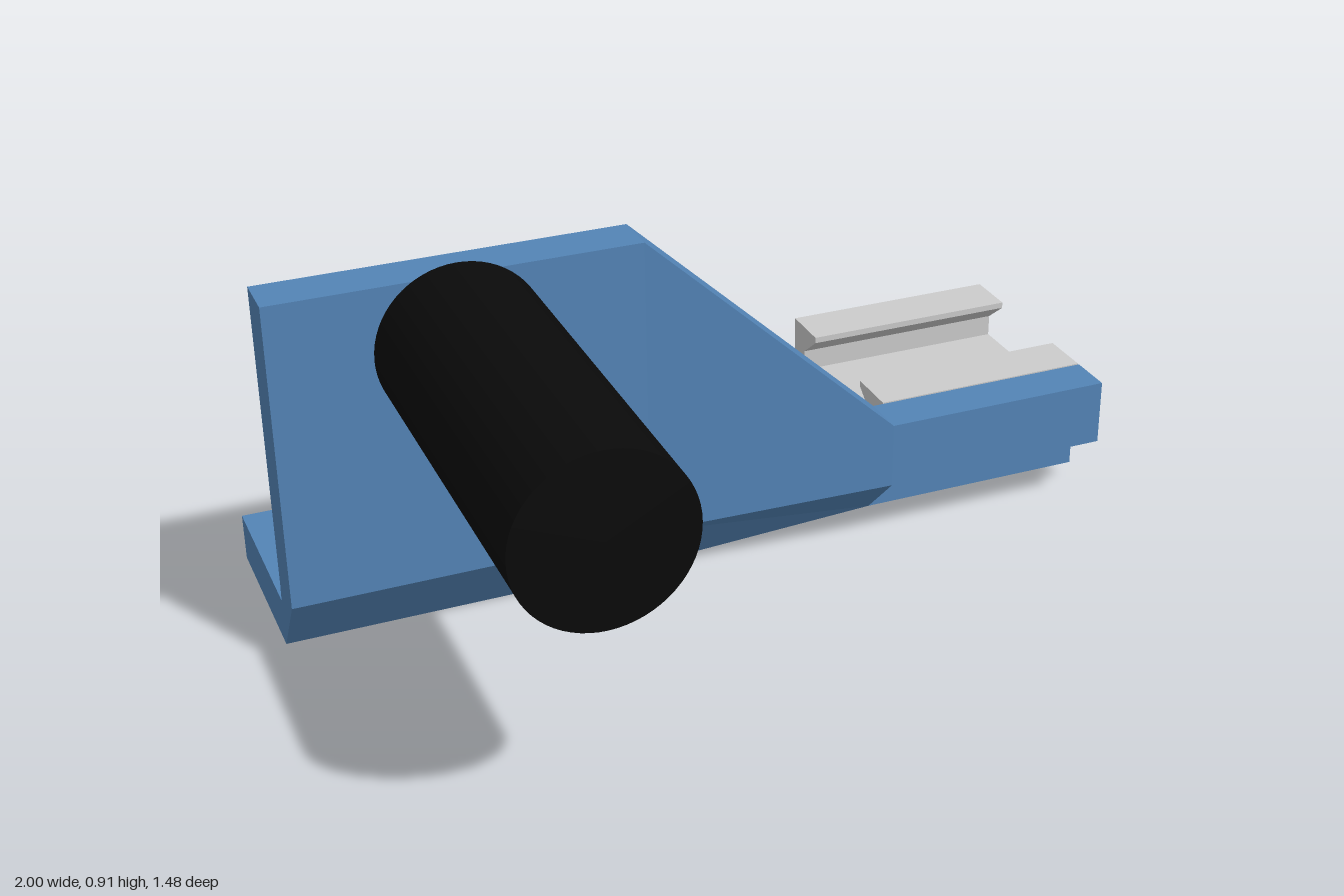
import * as THREE from 'three';

const blue = new THREE.MeshStandardMaterial({ color: 0x5384b6, flatShading: true });
const grey = new THREE.MeshStandardMaterial({ color: 0xcccccc, flatShading: true });
const black = new THREE.MeshStandardMaterial({ color: 0x0a0a0a });

// Skins matching [z, y] outlines placed at stations along x, and caps both ends
function loft(name, stations, material) {
  const pos = [];
  const put = (x, ...pts) => pts.forEach(([z, y]) => pos.push(x, y, z));
  for (let s = 0; s < stations.length - 1; s++) {
    const [x0, a] = stations[s];
    const [x1, b] = stations[s + 1];
    a.forEach((p, i) => {
      const j = (i + 1) % a.length;
      put(x0, p); put(x1, b[i]); put(x0, a[j]);
      put(x0, a[j]); put(x1, b[i]); put(x1, b[j]);
    });
  }
  const cap = ([x, ring], flip) => {
    const tris = THREE.ShapeUtils.triangulateShape(ring.map(([z, y]) => new THREE.Vector2(z, y)), []);
    for (const [i, j, k] of tris) put(x, ring[i], ring[flip ? k : j], ring[flip ? j : k]);
  };
  cap(stations[0], false);
  cap(stations[stations.length - 1], true);
  const geometry = new THREE.BufferGeometry();
  geometry.setAttribute('position', new THREE.Float32BufferAttribute(pos, 3));
  geometry.computeVertexNormals();
  const mesh = new THREE.Mesh(geometry, material);
  mesh.name = name;
  return mesh;
}

const rect = (z0, z1, y0, y1) => [[z0, y0], [z1, y0], [z1, y1], [z0, y1]];

export function createModel() {
  const group = new THREE.Group();
  group.name = 'bracketWithRail';

  // Folded bracket: tall L section tapering to a low one
  const tall = [[-0.665, 0], [-0.26, 0], [-0.145, 0.16], [-0.145, 0.883],
    [-0.255, 0.883], [-0.255, 0.16], [-0.26, 0.115], [-0.665, 0.115]];
  const low = [[-0.74, 0.045], [-0.235, 0.045], [-0.115, 0.165], [-0.115, 0.325],
    [-0.225, 0.325], [-0.225, 0.165], [-0.235, 0.157], [-0.74, 0.157]];
  group.add(loft('foldedBracket', [[-1, tall], [-0.165, tall], [0.437, low]], blue));

  // Separate wall and floor strips beyond the fold
  const wall = rect(-0.225, -0.115, 0.165, 0.325);
  const floor = rect(-0.74, -0.235, 0.045, 0.157);
  group.add(loft('wallStrip', [[0.437, wall], [1, wall]], blue));
  group.add(loft('floorStrip', [[0.437, floor], [1, floor]], blue));

  // Slotted rail, mirrored about its centre line
  const mid = -0.485;
  const half = [[0.255, 0.158], [0.255, 0.325], [0.13, 0.325], [0.13, 0.31], [0.195, 0.258], [0.195, 0.205]];
  const rail = [...half.map(([z, y]) => [mid + z, y]),
    ...half.slice().reverse().map(([z, y]) => [mid - z, y])];
  group.add(loft('slottedRail', [[0.465, rail], [1, rail]], grey));

  // Round handle standing out of the wall
  const handle = new THREE.Mesh(new THREE.CylinderGeometry(0.19, 0.19, 0.885, 64), black);
  handle.name = 'handle';
  handle.rotation.x = Math.PI / 2;
  handle.position.set(-0.583, 0.72, 0.2975);
  group.add(handle);

  return group;
}
